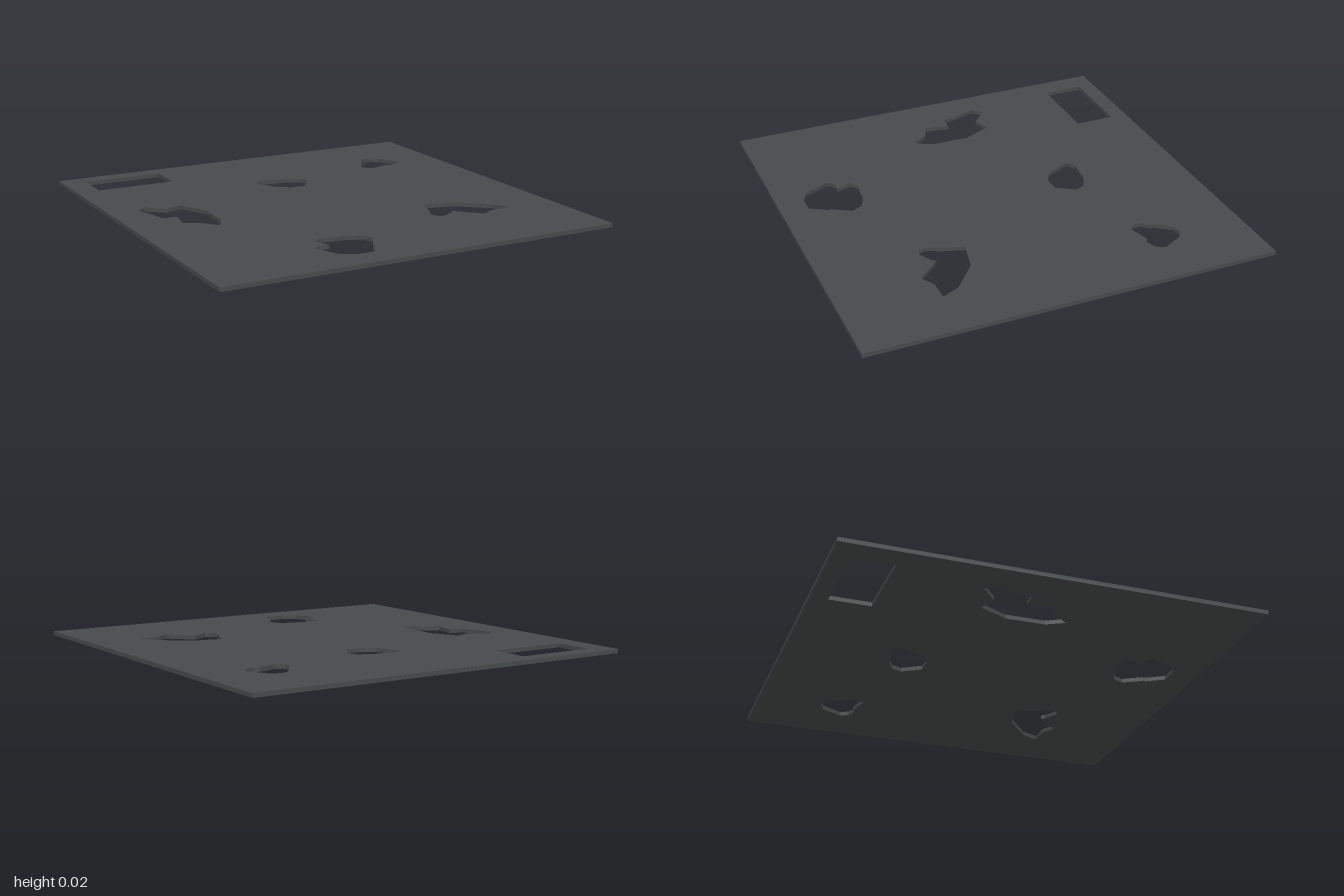
import * as THREE from 'three';

const THICKNESS = 0.02;

// Outlines of the cut-outs as [x, z] corners
const rectangle = [[-0.885, -0.915], [-0.485, -0.915], [-0.485, -0.715], [-0.885, -0.715]];
const backMiddle = [[-0.123, -0.47], [-0.08, -0.5], [0.05, -0.485], [0.12, -0.45], [0.138, -0.4],
  [0.08, -0.31], [0, -0.31], [-0.065, -0.35]];
const backLeft = [[0.625, -0.665], [0.67, -0.68], [0.717, -0.655], [0.773, -0.55], [0.75, -0.51],
  [0.7, -0.49], [0.674, -0.505], [0.572, -0.476], [0.54, -0.51], [0.54, -0.545], [0.575, -0.58], [0.572, -0.594]];
const middleRight = [[-0.855, -0.25], [-0.807, -0.295], [-0.722, -0.22], [-0.636, -0.25], [-0.57, -0.11],
  [-0.572, 0.08], [-0.618, 0.166], [-0.68, 0.085], [-0.754, 0.053], [-0.733, -0.064], [-0.802, -0.07], [-0.823, -0.155]];
const frontLeft = [[0.406, 0.3], [0.56, 0.333], [0.706, 0.455], [0.743, 0.54], [0.642, 0.54], [0.572, 0.578],
  [0.465, 0.465], [0.455, 0.48], [0.385, 0.52], [0.353, 0.508], [0.342, 0.47], [0.374, 0.4]];
const frontRight = [[-0.358, 0.61], [-0.32, 0.58], [-0.187, 0.594], [-0.123, 0.626], [-0.1, 0.68], [-0.155, 0.77],
  [-0.15, 0.78], [-0.203, 0.866], [-0.289, 0.866], [-0.353, 0.83], [-0.406, 0.71], [-0.374, 0.68], [-0.326, 0.684]];

const toPoints = (outline) => outline.map(([x, z]) => new THREE.Vector2(x, z));

export function createModel() {
  const group = new THREE.Group();
  group.name = 'perforatedPanel';
  const darkGrey = new THREE.MeshStandardMaterial({ color: 0x464a4a });
  darkGrey.name = 'dark grey';

  // Square sheet with one rectangular and five jagged holes
  const sheet = new THREE.Shape(toPoints([[-1, -1], [1, -1], [1, 1], [-1, 1]]));
  for (const outline of [rectangle, backMiddle, backLeft, middleRight, frontLeft, frontRight]) {
    sheet.holes.push(new THREE.Path(toPoints(outline)));
  }

  // Lay the sheet flat, shape y becoming z
  const geometry = new THREE.ExtrudeGeometry(sheet, { depth: THICKNESS, bevelEnabled: false });
  geometry.rotateX(Math.PI / 2).translate(0, THICKNESS, 0);

  const panel = new THREE.Mesh(geometry, darkGrey);
  panel.name = 'panel';
  group.add(panel);
  return group;
}
